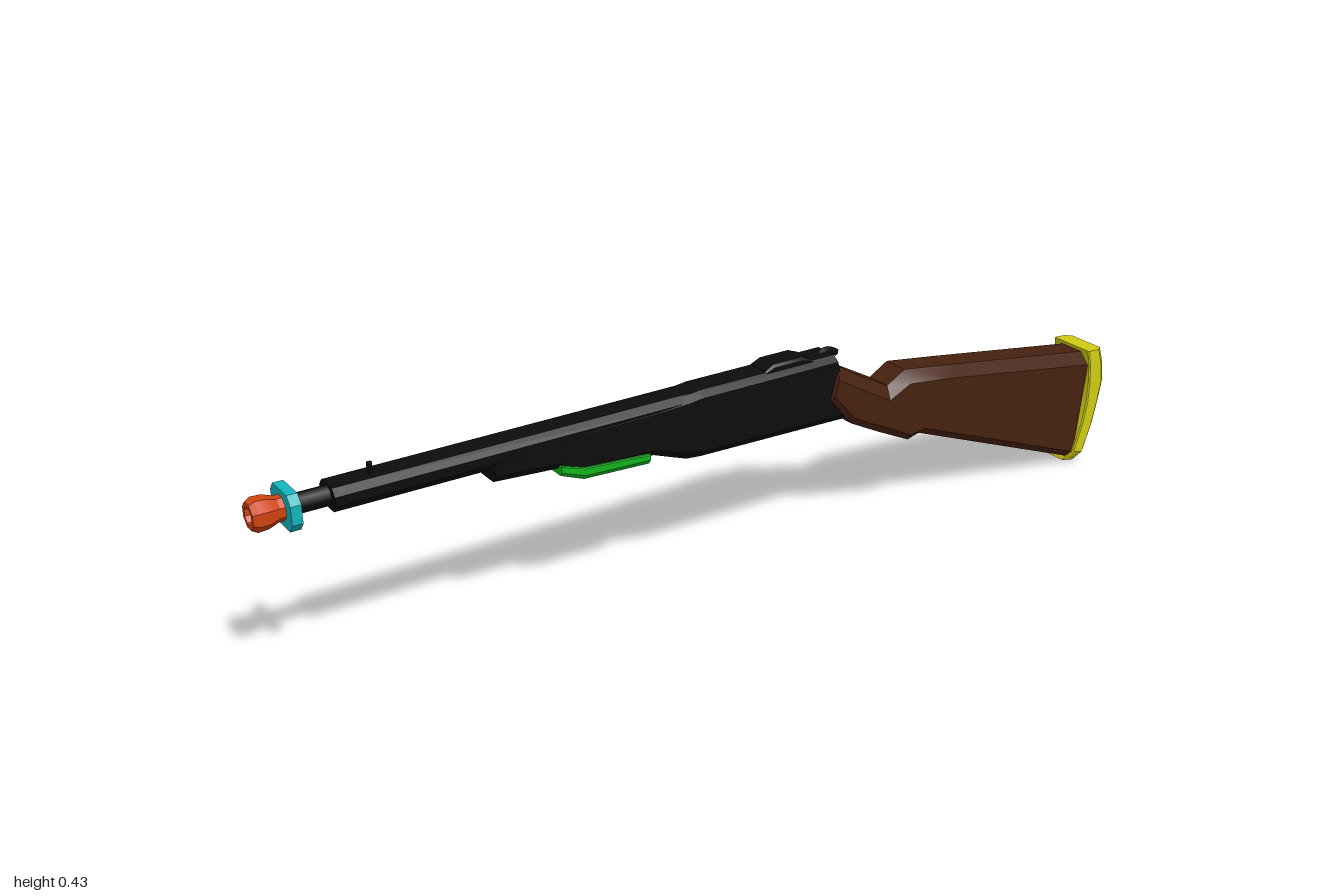
import * as THREE from 'three';
import { toCreasedNormals } from 'three/addons/utils/BufferGeometryUtils.js';

const mat = (color) => new THREE.MeshStandardMaterial({ color, side: THREE.DoubleSide });
const BLACK = mat(0x0c0c0c), BROWN = mat(0x47210f), YELLOW = mat(0xd0cc12);
const ORANGE = mat(0xd0430f), CYAN = mat(0x14b4bc), GREEN = mat(0x10b41c);

// Loft of bevelled sections: [topX, topY, bottomX, bottomY, halfWidth, topBevel, bottomBevel]
function loft(sections, crease = 0.45) {
  const rings = sections.map(([tx, ty, bx, by, w, ct, cb]) => {
    const h = Math.hypot(tx - bx, ty - by);
    const at = (d, z) => [tx + (bx - tx) * d / h, ty + (by - ty) * d / h, z];
    return [
      at(0, -w + ct * 0.8), at(0, w - ct * 0.8), at(ct, w), at(h - cb, w),
      at(h, w - cb * 0.8), at(h, -w + cb * 0.8), at(h - cb, -w), at(ct, -w),
    ];
  });
  const pos = [];
  const tri = (a, b, c) => pos.push(...a, ...b, ...c);
  for (let i = 0; i < rings.length - 1; i++) {
    const a = rings[i], b = rings[i + 1];
    for (let j = 0; j < 8; j++) {
      const k = (j + 1) % 8;
      tri(a[j], a[k], b[k]);
      tri(a[j], b[k], b[j]);
    }
  }
  const first = rings[0], last = rings[rings.length - 1];
  for (let j = 1; j < 7; j++) {
    tri(first[0], first[j + 1], first[j]);
    tri(last[0], last[j], last[j + 1]);
  }
  const geo = new THREE.BufferGeometry();
  geo.setAttribute('position', new THREE.Float32BufferAttribute(pos, 3));
  return toCreasedNormals(geo, crease);
}

// Upright section at x
const sec = (x, top, bottom, w, ct, cb) => [x, top, x, bottom, w, ct, cb];

export function createModel() {
  const group = new THREE.Group();
  const add = (name, geo, material) => {
    const mesh = new THREE.Mesh(geo, material);
    mesh.name = name;
    group.add(mesh);
    return mesh;
  };

  // Wooden stock with a slim wrist
  add('stock', loft([
    [0.24, 0.393, 0.22, 0.322, 0.05, 0.026, 0.012],
    [0.285, 0.365, 0.275, 0.258, 0.05, 0.026, 0.015],
    [0.375, 0.316, 0.35, 0.22, 0.05, 0.026, 0.015],
    [0.42, 0.342, 0.43, 0.182, 0.05, 0.026, 0.015],
    [0.55, 0.324, 0.46, 0.19, 0.05, 0.026, 0.015],
    [0.945, 0.266, 0.915, 0.016, 0.05, 0.026, 0.015],
  ]), BROWN);

  // Curved butt pad, lofted from toe to heel
  add('buttPad', loft([
    [0.902, 0.008, 0.943, 0.0, 0.035, 0.003, 0.01],
    [0.912, 0.035, 0.953, 0.024, 0.056, 0.003, 0.014],
    [0.932, 0.1, 0.976, 0.085, 0.057, 0.003, 0.016],
    [0.942, 0.15, 0.992, 0.145, 0.057, 0.003, 0.018],
    [0.944, 0.2, 1.0, 0.19, 0.057, 0.003, 0.018],
    [0.941, 0.24, 0.993, 0.235, 0.057, 0.003, 0.016],
    [0.936, 0.275, 0.982, 0.272, 0.055, 0.003, 0.014],
  ], 0.6), YELLOW);

  // Receiver and fore-end
  add('receiver', loft([
    sec(-0.55, 0.4, 0.36, 0.03, 0.012, 0.012),
    sec(-0.545, 0.405, 0.34, 0.034, 0.014, 0.014),
    sec(-0.41, 0.406, 0.332, 0.035, 0.014, 0.014),
    sec(-0.38, 0.406, 0.312, 0.035, 0.014, 0.014),
    sec(-0.2, 0.408, 0.305, 0.036, 0.014, 0.014),
    sec(-0.125, 0.412, 0.278, 0.037, 0.014, 0.014),
    [-0.09, 0.416, -0.09, 0.275, 0.037, 0.014, 0.014],
    [0.235, 0.416, 0.27, 0.268, 0.037, 0.014, 0.014],
  ]), BLACK);

  // Barrel: broad jacket and slim muzzle end
  add('barrelJacket', loft([
    sec(-0.855, 0.412, 0.366, 0.034, 0.014, 0.014),
    sec(-0.1, 0.414, 0.366, 0.035, 0.014, 0.014),
  ]), BLACK);
  const barrel = add('barrel', new THREE.CylinderGeometry(0.02, 0.02, 0.13, 8), BLACK);
  barrel.rotation.z = Math.PI / 2;
  barrel.position.set(-0.885, 0.39, 0);

  // Flared octagonal muzzle tip with a recessed bore
  const tip = new THREE.LatheGeometry([
    [0, -0.03], [0.014, -0.03], [0.017, 0], [0.026, 0], [0.032, -0.01],
    [0.031, -0.03], [0.024, -0.05], [0.024, -0.075], [0, -0.075],
  ].map(([r, y]) => new THREE.Vector2(r, y)), 8, Math.PI / 8);
  const muzzle = add('muzzleTip', toCreasedNormals(tip.toNonIndexed(), 0.3), ORANGE);
  muzzle.rotation.z = Math.PI / 2;
  muzzle.position.set(-1, 0.39, 0);

  // Band around the barrel
  add('barrelBand', loft([
    sec(-0.94, 0.425, 0.355, 0.045, 0.017, 0.017),
    sec(-0.92, 0.425, 0.355, 0.045, 0.017, 0.017),
  ]), CYAN);

  // Sliding grip tray under the fore-end
  add('slideGrip', loft([
    sec(-0.41, 0.342, 0.32, 0.039, 0.002, 0.008),
    sec(-0.36, 0.326, 0.3, 0.04, 0.002, 0.01),
    sec(-0.215, 0.316, 0.294, 0.04, 0.002, 0.01),
  ]), GREEN);

  // Front sight
  add('frontSight', loft([
    sec(-0.777, 0.433, 0.405, 0.004, 0.001, 0.001),
    sec(-0.769, 0.433, 0.405, 0.004, 0.001, 0.001),
  ]), BLACK);

  // Raised bolt cover
  add('boltCover', loft([
    sec(0.065, 0.418, 0.4, 0.028, 0.004, 0.002),
    sec(0.085, 0.428, 0.4, 0.028, 0.006, 0.002),
    sec(0.155, 0.428, 0.4, 0.028, 0.006, 0.002),
    sec(0.18, 0.418, 0.4, 0.028, 0.004, 0.002),
  ]), BLACK);

  // Curled hammer at the rear
  const curl = new THREE.CatmullRomCurve3([
    [0.22, 0.385], [0.215, 0.402], [0.225, 0.415], [0.243, 0.416], [0.26, 0.408],
  ].map(([x, y]) => new THREE.Vector3(x, y, 0)));
  add('hammer', new THREE.TubeGeometry(curl, 10, 0.008, 6), BLACK);
  return group;
}
